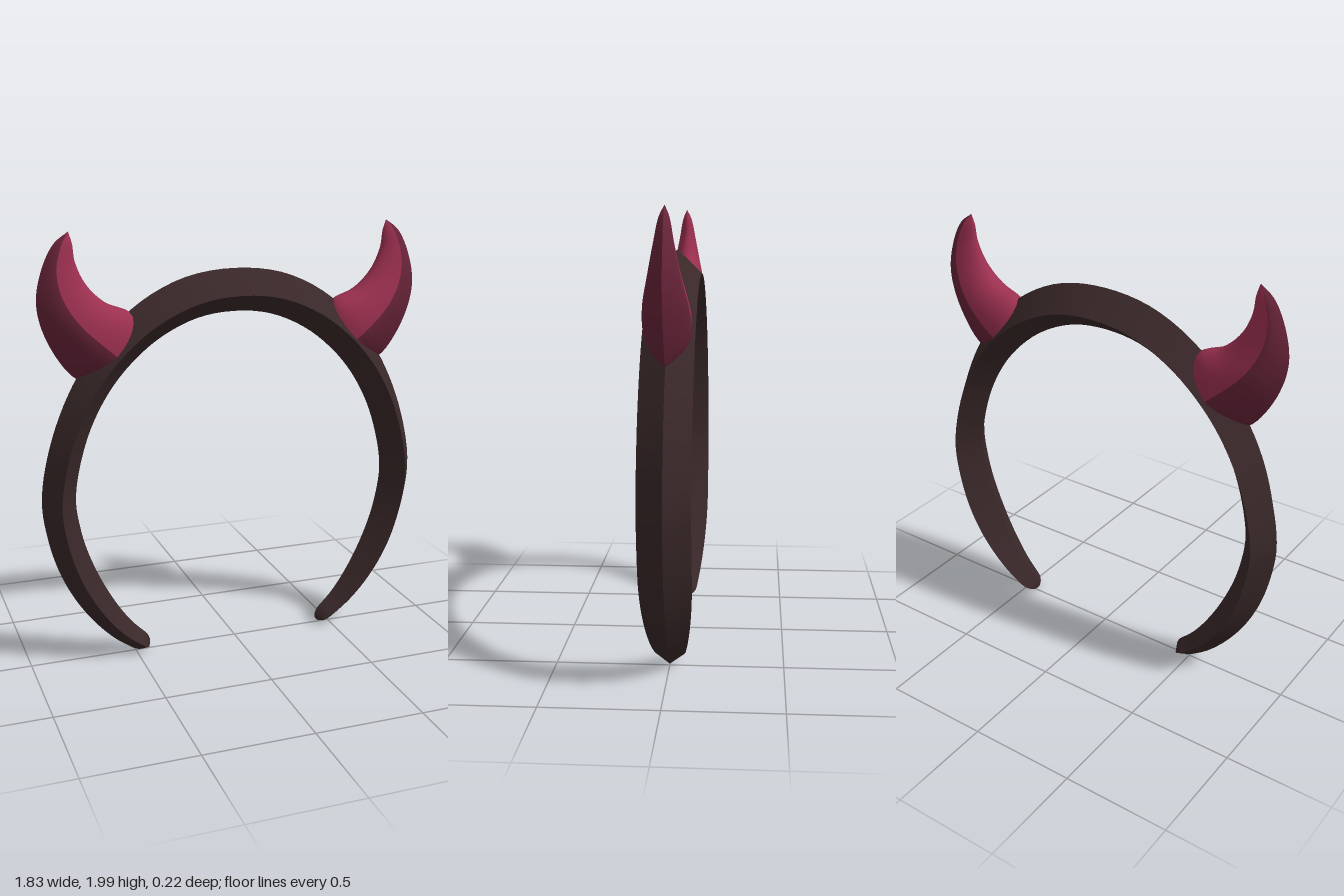
import * as THREE from 'three';

const material = (name, color) => {
  const m = new THREE.MeshStandardMaterial({ color });
  m.name = name;
  return m;
};

// Smooth surface through rows of points; separate strips keep creases sharp
function loft(rows) {
  const n = rows[0].length, index = [];
  for (let i = 0; i < rows.length - 1; i++) {
    for (let j = 0; j < n - 1; j++) {
      const a = i * n + j, b = a + n;
      index.push(a, b, a + 1, a + 1, b, b + 1);
    }
  }
  const g = new THREE.BufferGeometry();
  g.setAttribute('position', new THREE.Float32BufferAttribute(rows.flat(2), 3));
  g.setIndex(index);
  g.computeVertexNormals();
  return g;
}

function addMesh(parent, name, geometry, mat) {
  const mesh = new THREE.Mesh(geometry, mat);
  mesh.name = name;
  parent.add(mesh);
}

// Headband: diamond section swept along an open hoop, tapering to round ends
function createBand(mat) {
  const half = [[0.2, 1.675], [0.4, 1.585], [0.57, 1.445], [0.69, 1.29], [0.785, 1.09], [0.845, 0.82],
    [0.83, 0.65], [0.78, 0.47], [0.69, 0.29], [0.57, 0.135], [0.435, 0.025]];
  const points = [
    ...half.map(([x, y]) => [-x, y]).reverse(), [0, 1.70], ...half,
  ].map(([x, y]) => new THREE.Vector3(x, y, 0));
  const curve = new THREE.CatmullRomCurve3(points);
  curve.arcLengthDivisions = 800;
  const length = curve.getLength(), steps = 140, rings = [];
  const { lerp, smoothstep } = THREE.MathUtils;
  for (let i = 0; i <= steps; i++) {
    const u = (1 - Math.cos(Math.PI * i / steps)) / 2;
    const p = curve.getPointAt(u), t = curve.getTangentAt(u);
    const d = Math.min(u, 1 - u) * length;
    const cap = d < 0.06 ? Math.sqrt(Math.max(0, 1 - (1 - d / 0.06) ** 2)) : 1;
    const body = Math.sin(Math.min(d / 0.6, 1) * Math.PI / 2);
    const outer = cap * (lerp(0.045, 0.07, body) + 0.04 * smoothstep(d, 1.2, 2.1));
    const inner = cap * lerp(0.04, 0.085, body);
    const w = cap * lerp(0.06, 0.112, body);
    const at = (o, z) => [p.x - t.y * o, p.y + t.x * o, z];
    rings.push([at(0, w), at(outer, 0), at(0, -w), at(-inner, 0), at(0, w)]);
  }
  const band = new THREE.Group();
  band.name = 'headband';
  ['outerFront', 'outerBack', 'innerBack', 'innerFront'].forEach((name, k) =>
    addMesh(band, name + 'Face', loft(rings.map(r => [r[k], r[k + 1]])), mat));
  return band;
}

// Curved horn: rounded bright inner side, darker outer side with a ridge
function createHorn(bright, dark) {
  const curve = pts => new THREE.CatmullRomCurve3(pts.map(p => new THREE.Vector3(...p)));
  // x, y and half depth along the inner edge
  const innerEdge = curve([[0.45, 1.57, 0.09], [0.49, 1.64, 0.102], [0.60, 1.69, 0.092],
    [0.68, 1.77, 0.066], [0.725, 1.87, 0.041], [0.735, 1.95, 0.022], [0.75, 2.0, 0]]);
  // x, y and position of the colour border along the outer edge
  const outerEdge = curve([[0.66, 1.32, 0.5], [0.755, 1.37, 0.5], [0.86, 1.53, 0.5],
    [0.9, 1.69, 0.54], [0.872, 1.84, 0.6], [0.815, 1.95, 0.6], [0.75, 2.0, 0.6]]);
  const inner = [], back = [], front = [], steps = 36, n = 12;
  for (let i = 0; i <= steps; i++) {
    const a = innerEdge.getPoint(i / steps), b = outerEdge.getPoint(i / steps);
    const w = Math.max(0, a.z), f = b.z;
    const at = (s, z) => [a.x + (b.x - a.x) * s, a.y + (b.y - a.y) * s, z];
    const rowIn = [], rowBack = [], rowFront = [];
    for (let j = 0; j <= n; j++) {
      const ang = Math.PI * j / n, s = j / n;
      rowIn.push(at(f * (1 - Math.sin(ang)), w * Math.cos(ang)));
      rowBack.push(at(f + (1 - f) * s, -w * (1 - s ** 1.6)));
      rowFront.push(at(1 - (1 - f) * s, w * (1 - (1 - s) ** 1.6)));
    }
    inner.push(rowIn);
    back.push(rowBack);
    front.push(rowFront);
  }
  const horn = new THREE.Group();
  addMesh(horn, 'hornInnerSide', loft(inner), bright);
  addMesh(horn, 'hornOuterBack', loft(back), dark);
  addMesh(horn, 'hornOuterFront', loft(front), dark);
  return horn;
}

export function createModel() {
  const brown = material('dark brown', 0x3a2829);
  const crimson = material('crimson', 0x9c3050);
  const maroon = material('maroon', 0x682439);
  const model = new THREE.Group();
  model.name = 'hornedHeadband';
  model.add(createBand(brown));
  // The horn is symmetric in z, so a half turn gives its mirror image
  ['leftHorn', 'rightHorn'].forEach((name, k) => {
    const horn = createHorn(crimson, maroon);
    horn.name = name;
    horn.rotation.y = k * Math.PI;
    model.add(horn);
  });
  return model;
}
